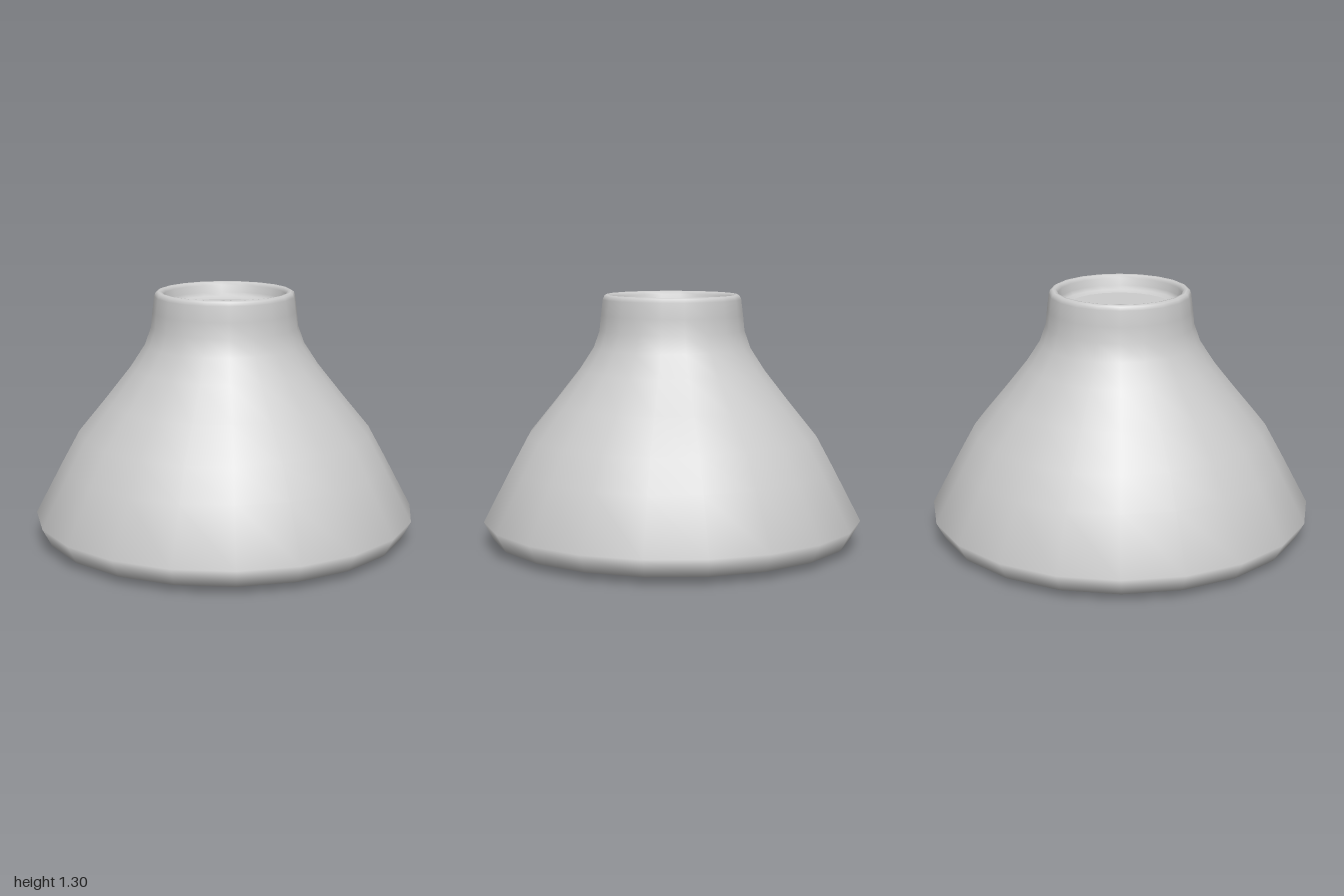
import * as THREE from 'three';

export function createModel() {
  const group = new THREE.Group();
  group.name = 'flaredVessel';
  const material = new THREE.MeshStandardMaterial({ color: 0xcccccc });

  // Turned part from a [radius, height] profile
  const turned = (name, profile) => {
    const points = profile.map(([r, y]) => new THREE.Vector2(r, y));
    const mesh = new THREE.Mesh(new THREE.LatheGeometry(points, 20), material);
    mesh.name = name;
    mesh.scale.z = 0.99;
    group.add(mesh);
  };

  // Shell: underside, flared body, narrow neck, rounded rim and recess wall
  turned('shell', [
    [0, 0], [0.69, 0], [0.95, 0.04], [1, 0.135],
    [0.855, 0.41], [0.765, 0.575], [0.625, 0.745], [0.49, 0.915],
    [0.415, 1.03], [0.383, 1.12], [0.375, 1.2], [0.365, 1.28],
    [0.358, 1.298], [0.345, 1.305], [0.33, 1.303], [0.317, 1.287],
    [0.312, 1.25], [0.3, 1.23], [0.27, 1.22],
  ]);

  // Flat floor of the shallow recess inside the rim
  turned('recessFloor', [[0.27, 1.22], [0, 1.22]]);

  return group;
}
